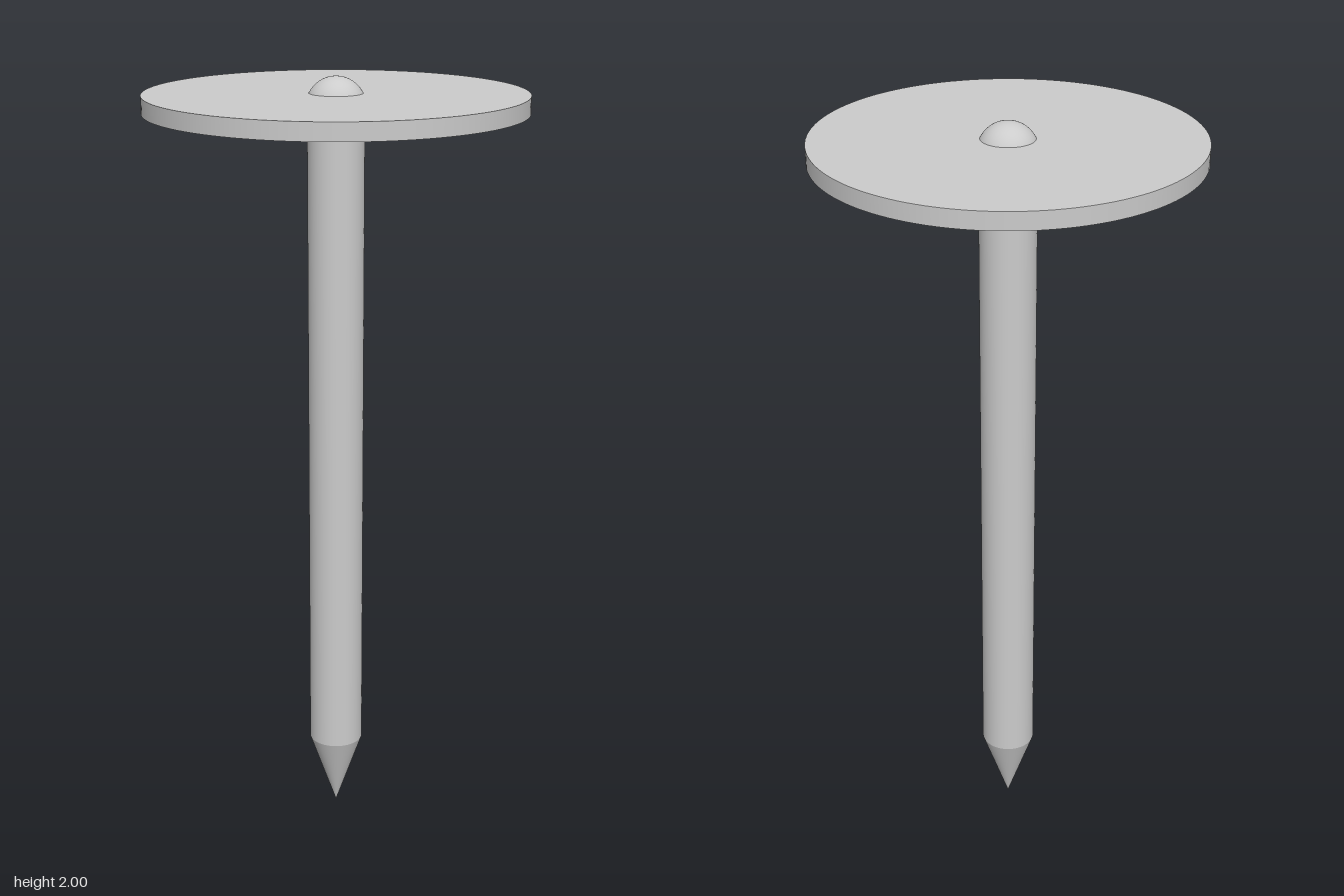
import * as THREE from 'three';

export function createModel() {
  const group = new THREE.Group();
  const material = new THREE.MeshStandardMaterial({ color: 0xcccccc });

  const add = (name, geometry, y) => {
    const mesh = new THREE.Mesh(geometry, material);
    mesh.name = name;
    mesh.position.y = y;
    group.add(mesh);
  };

  const shaftRadius = 0.071, tipHeight = 0.205, shaftTop = 1.93;
  const shaftLength = shaftTop - tipHeight;

  // Pointed tip, open where it meets the shaft
  add('tip', new THREE.ConeGeometry(shaftRadius, tipHeight, 64, 1, true).rotateX(Math.PI), tipHeight / 2);
  // Long straight shank
  add('shaft', new THREE.CylinderGeometry(shaftRadius, shaftRadius, shaftLength, 64, 1, true), tipHeight + shaftLength / 2);
  // Wide flat washer
  add('disc', new THREE.CylinderGeometry(0.475, 0.475, 0.044, 128), 1.937);
  // Ball head, showing as a dome above the disc and a slight collar below
  add('head', new THREE.SphereGeometry(0.075, 64, 32), 1.925);

  return group;
}
